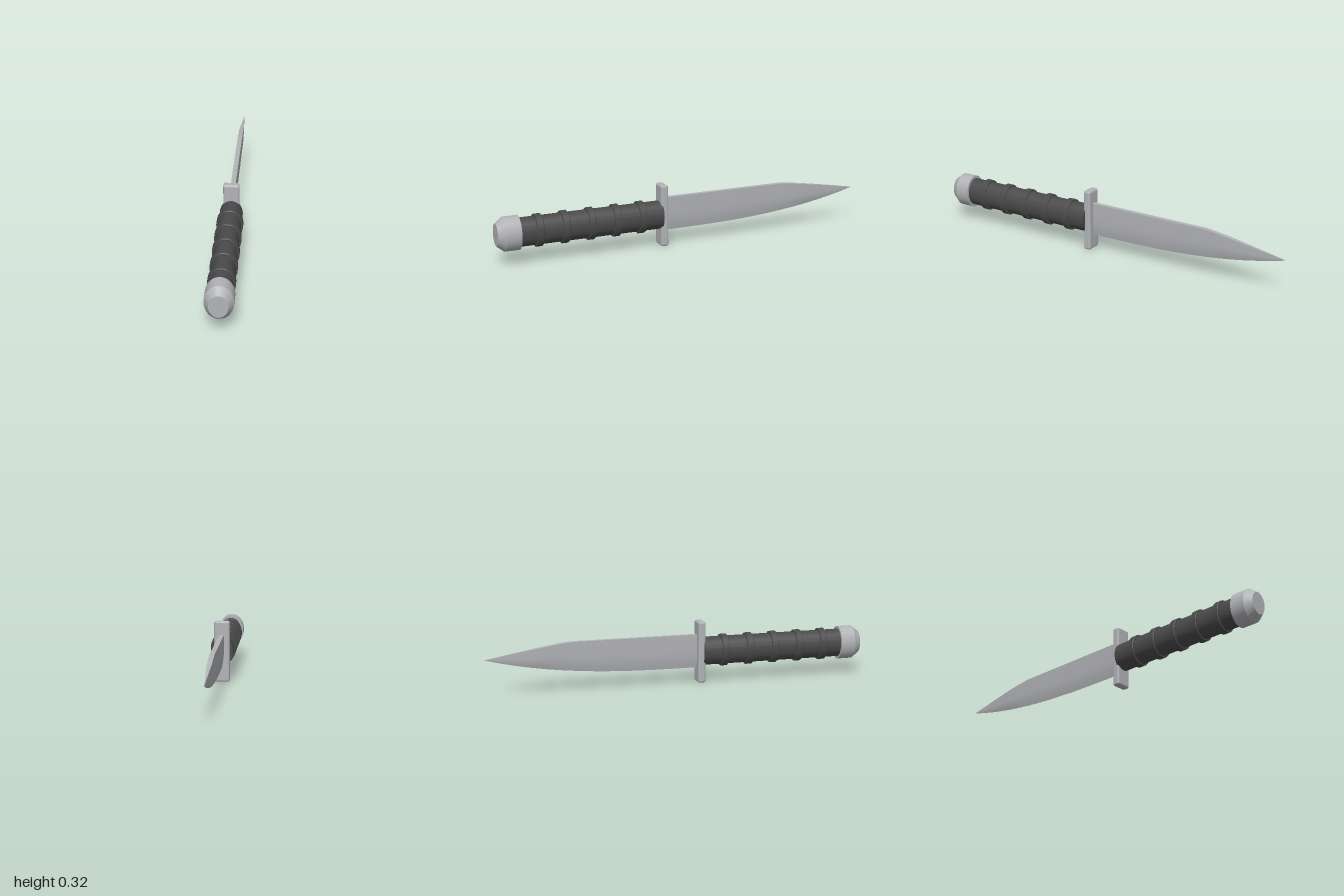
import * as THREE from 'three';
import { toCreasedNormals } from 'three/addons/utils/BufferGeometryUtils.js';
import { RoundedBoxGeometry } from 'three/addons/geometries/RoundedBoxGeometry.js';

const AXIS_Y = 0.1625; // height of the knife's long axis

// Oval turned part along z; profile is [x radius, z] from back to front
function ovalLathe(profile, ratio) {
  const g = new THREE.LatheGeometry(profile.map(([r, z]) => new THREE.Vector2(r, z)), 48);
  g.rotateX(Math.PI / 2);
  g.scale(1, ratio, 1);
  g.translate(0, AXIS_Y, 0);
  return toCreasedNormals(g, 0.5);
}

// Wedge-section blade lofted from the guard to the tip
function bladeGeometry() {
  const steps = 44, startZ = 0.11, tipZ = -1;
  // half thickness (as a share) at heights from spine to cutting edge
  const side = [[1, 1], [0.5, 0.97], [0.33, 0.84], [0.16, 0.52], [0, 0.04]];
  const ring = [...side.map(([h, w]) => [h, -w]), ...side.map(([h, w]) => [h, w]).reverse()];
  const n = ring.length, pos = [], index = [];
  for (let i = 0; i <= steps; i++) {
    const z = startZ + (tipZ - startZ) * i / steps;
    const top = 0.252 - 0.069 * Math.max(0, (-0.56 - z) / 0.44) ** 1.15;
    const bottom = 0.077 + 0.106 * Math.max(0, (0.1 - z) / 1.1) ** 2.8;
    const half = 0.012 * Math.min(1, Math.max(0.01, (z + 1) / 0.3));
    for (const [h, w] of ring) pos.push(w * half, bottom + (top - bottom) * h, z);
  }
  for (let i = 0; i < steps; i++) {
    for (let j = 0; j < n; j++) {
      const a = i * n + j, b = i * n + (j + 1) % n;
      index.push(a, a + n, b, b, a + n, b + n);
    }
  }
  // base cap
  for (let j = 1; j < n - 1; j++) index.push(0, j, j + 1);
  const g = new THREE.BufferGeometry();
  g.setAttribute('position', new THREE.Float32BufferAttribute(pos, 3));
  g.setIndex(index);
  return toCreasedNormals(g, 0.6);
}

export function createModel() {
  const steel = new THREE.MeshStandardMaterial({ color: 0xb2b3b7 });
  steel.name = 'steel';
  const rubber = new THREE.MeshStandardMaterial({ color: 0x4a4a4a });
  rubber.name = 'dark grip';

  const model = new THREE.Group();
  model.name = 'knife';
  const add = (name, geometry, material) => {
    const mesh = new THREE.Mesh(geometry, material);
    mesh.name = name;
    model.add(mesh);
    return mesh;
  };

  add('blade', bladeGeometry(), steel);

  // Upright crossguard
  add('guard', new RoundedBoxGeometry(0.082, 0.322, 0.04, 3, 0.011), steel)
    .position.set(0, 0.162, 0.12);

  // Grip with five raised bands
  add('grip', ovalLathe([[0, 0.13], [0.058, 0.13], [0.058, 0.89], [0, 0.89]], 1.27), rubber);
  for (let i = 0; i < 5; i++) {
    const z = 0.244 + i * 0.1358, w = 0.018;
    add('gripBand', ovalLathe([
      [0.05, z - w], [0.064, z - w], [0.067, z - w + 0.003],
      [0.067, z + w - 0.003], [0.064, z + w], [0.05, z + w],
    ], 1.245), rubber);
  }

  // Chamfered pommel
  add('pommel', ovalLathe([
    [0, 0.885], [0.07, 0.885], [0.07, 0.962], [0.046, 1], [0, 1],
  ], 1.255), steel);

  return model;
}
